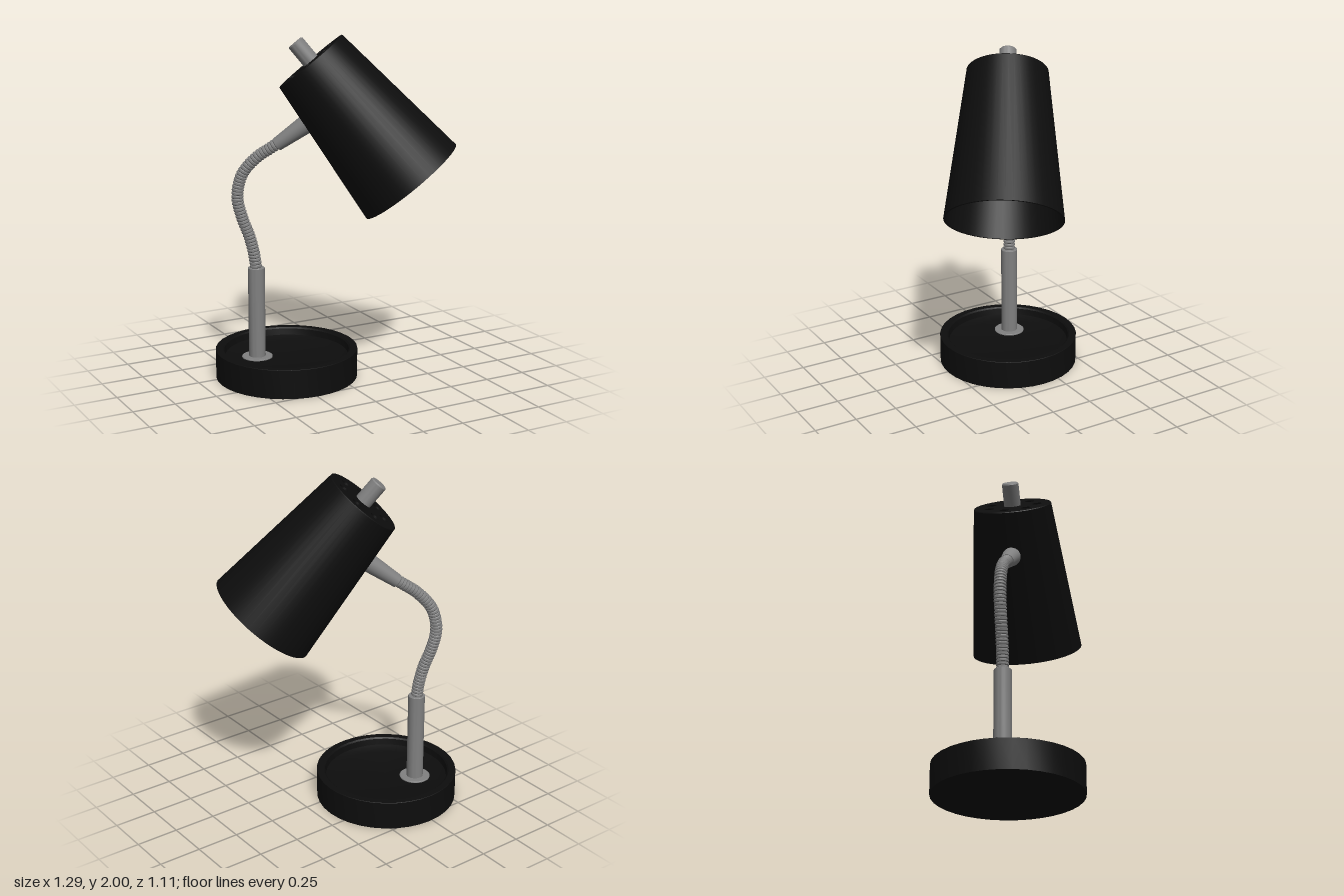
import * as THREE from 'three';
import { toCreasedNormals } from 'three/addons/utils/BufferGeometryUtils.js';

const black = new THREE.MeshStandardMaterial({ color: 0x0d0d0d });
black.name = 'matte black';
const metal = new THREE.MeshStandardMaterial({ color: 0x808080 });
metal.name = 'grey metal';

const UP = new THREE.Vector3(0, 1, 0);
const POLE = new THREE.Vector3(-0.38, 0, -0.235);

function addMesh(parent, name, geometry, material) {
  const mesh = new THREE.Mesh(geometry, material);
  mesh.name = name;
  parent.add(mesh);
  return mesh;
}

// Turned solid with sharp edges kept, from [radius, height] pairs
function turned(profile, segments = 36) {
  const points = profile.map(([r, y]) => new THREE.Vector2(r, y));
  return toCreasedNormals(new THREE.LatheGeometry(points, segments), 0.5);
}

// Point in the vertical plane of the neck: s runs from the pole towards the shade
const neckPoint = ([s, y]) => new THREE.Vector3(POLE.x + 0.844 * s, y, POLE.z + 0.537 * s);

// Flexible neck: a tube whose rings are pinched at regular grooves
function gooseneck() {
  const curve = new THREE.CatmullRomCurve3([
    [0, 0.63], [-0.01, 0.72], [-0.036, 0.83], [-0.08, 0.95], [-0.104, 1.07],
    [-0.075, 1.2], [0.01, 1.3], [0.09, 1.355], [0.15, 1.395],
  ].map(neckPoint));
  const rings = 46, steps = 4, sides = 20;
  const geometry = new THREE.TubeGeometry(curve, rings * steps, 0.035, sides, false);
  const pos = geometry.attributes.position;
  const p = new THREE.Vector3();
  for (let i = 0; i <= rings * steps; i++) {
    if (i % steps !== 0) continue;
    const centre = curve.getPointAt(i / (rings * steps));
    for (let j = 0; j <= sides; j++) {
      const k = i * (sides + 1) + j;
      p.fromBufferAttribute(pos, k).sub(centre).multiplyScalar(0.86).add(centre);
      pos.setXYZ(k, p.x, p.y, p.z);
    }
  }
  return toCreasedNormals(geometry, 0.5);
}

function createShade() {
  const shade = new THREE.Group();
  shade.name = 'shade';
  const bottom = new THREE.Vector3(0.368, 1.175, 0.246);
  const axis = new THREE.Vector3(-0.11, 1.854, -0.062).sub(bottom);
  const height = axis.length();
  shade.position.copy(bottom);
  shade.quaternion.setFromUnitVectors(UP, axis.normalize());

  // Hollow conical wall
  addMesh(shade, 'shadeWall', turned([
    [0.319, 0], [0.329, 0], [0.23, height - 0.004], [0.226, height], [0.218, height], [0.319, 0],
  ], 48), black);

  // Top plate with a ring of vent holes
  const plate = new THREE.Shape().absarc(0, 0, 0.224, 0, Math.PI * 2);
  for (let i = 0; i < 7; i++) {
    const a = 0.33 + (i * Math.PI * 2) / 7;
    plate.holes.push(new THREE.Path().absarc(0.146 * Math.cos(a), 0.146 * Math.sin(a), 0.028, 0, Math.PI * 2, true));
  }
  const plateGeometry = new THREE.ExtrudeGeometry(plate, { depth: 0.012, bevelEnabled: false, curveSegments: 20 });
  plateGeometry.rotateX(Math.PI / 2);
  addMesh(shade, 'ventPlate', plateGeometry, black).position.y = height - 0.001;

  // Knob on top
  addMesh(shade, 'topKnob', turned([
    [0, -0.01], [0.049, -0.01], [0.049, 0.128], [0.043, 0.135], [0, 0.135],
  ], 28), metal).position.y = height;
  return shade;
}

export function createModel() {
  const lamp = new THREE.Group();
  lamp.name = 'deskLamp';

  // Round dished base
  addMesh(lamp, 'base', turned([
    [0, 0], [0.415, 0], [0.415, 0.168], [0.412, 0.17], [0.375, 0.17],
    [0.366, 0.162], [0.36, 0.125], [0.31, 0.105], [0, 0.105],
  ]), black).position.set(-0.235, 0, -0.14);

  // Collar and upright pole
  addMesh(lamp, 'poleCollar', turned([
    [0, 0.1], [0.09, 0.1], [0.09, 0.11], [0.086, 0.113], [0, 0.113],
  ]), metal).position.copy(POLE);
  addMesh(lamp, 'pole', turned([
    [0, 0.1], [0.049, 0.1], [0.049, 0.647], [0.046, 0.65], [0, 0.65],
  ], 28), metal).position.copy(POLE);

  addMesh(lamp, 'gooseneck', gooseneck(), metal);

  // Tapered socket joining the neck to the shade
  const start = neckPoint([0.125, 1.375]);
  const direction = neckPoint([0.3, 1.5]).sub(start);
  const length = direction.length();
  const socket = addMesh(lamp, 'neckSocket', new THREE.CylinderGeometry(0.055, 0.039, length, 28), metal);
  socket.position.copy(start).addScaledVector(direction, 0.5);
  socket.quaternion.setFromUnitVectors(UP, direction.normalize());

  lamp.add(createShade());
  return lamp;
}
